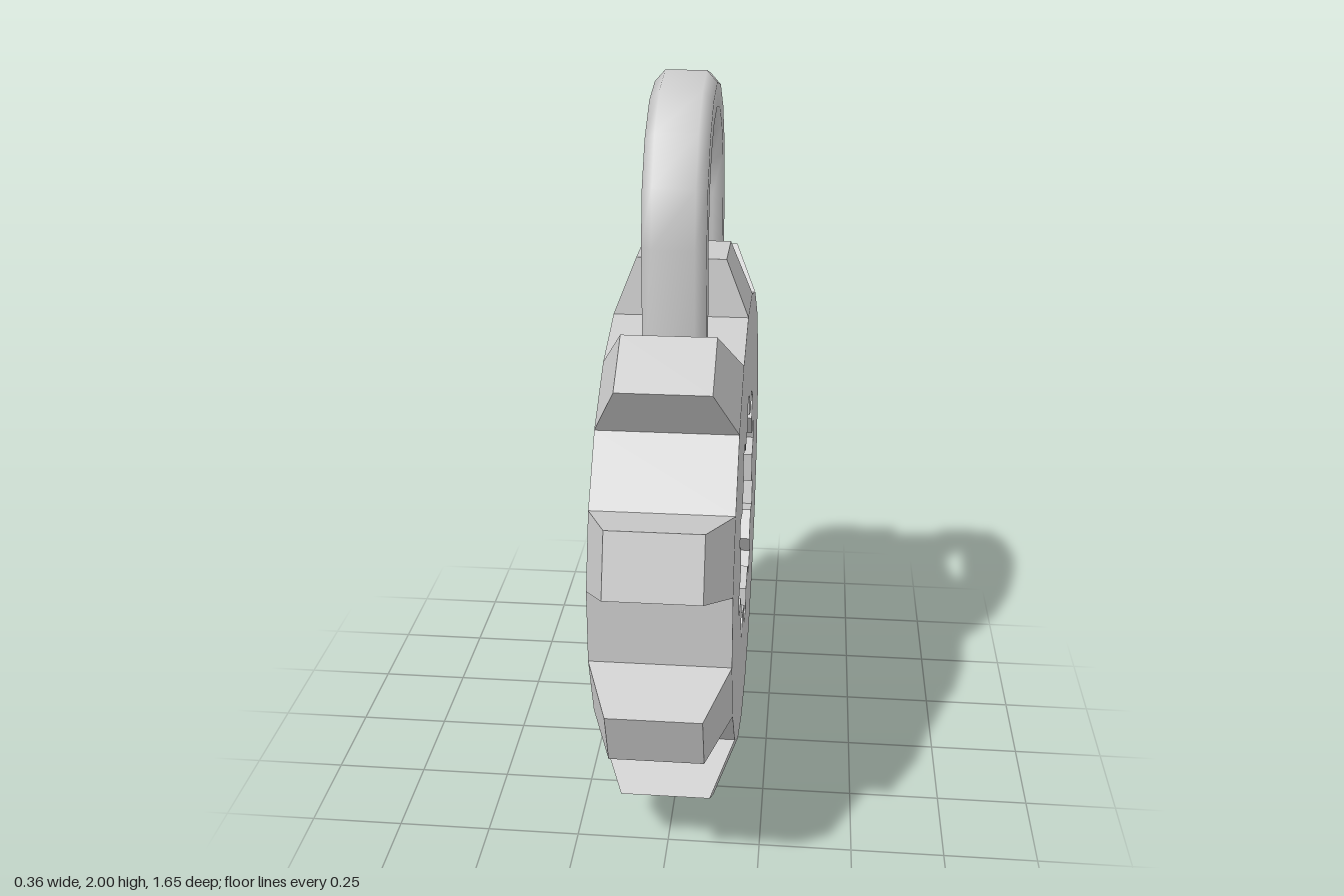
import * as THREE from 'three';
import { mergeGeometries } from 'three/addons/utils/BufferGeometryUtils.js';

const TEETH = 10, ROOT = 0.683, TIP = 0.845, SQUASH = 0.912;
const ROOT_HALF = 9, TIP_HALF = 6.05; // half angles of a tooth, in degrees
const HALF = 0.178, TIP_X = 0.118, CENTRE_Y = 0.767;
const RECESS = 0.45, FLOOR = 0.04;

// Gears are laid out in the XY plane with the axle along z, then turned to face x.
function polar(r, deg, z = 0) {
  const a = THREE.MathUtils.degToRad(deg);
  return new THREE.Vector3(r * Math.cos(a), r * Math.sin(a) * SQUASH, z);
}
const toothAngle = (i) => 90 + (i * 360) / TEETH;

// Toothed rim; "inward" turns the faces toward the axle for a recess
function rim(scale, rootLo, tipLo, tipHi, rootHi, inward) {
  const pos = [];
  const quad = (a, b, c, d) => {
    const tris = inward ? [a, c, b, a, d, c] : [a, b, c, a, c, d];
    tris.forEach((p) => pos.push(p.x, p.y, p.z));
  };
  for (let i = 0; i < TEETH; i++) {
    const a = toothAngle(i);
    const root = (off, z) => polar(ROOT * scale, a + off, z);
    const tip = (off, z) => polar(TIP * scale, a + off, z);
    const R = ROOT_HALF, T = TIP_HALF, next = 360 / TEETH - R;
    quad(tip(-T, tipLo), tip(T, tipLo), tip(T, tipHi), tip(-T, tipHi));
    if (tipHi !== rootHi) quad(tip(-T, tipHi), tip(T, tipHi), root(R, rootHi), root(-R, rootHi));
    quad(root(-R, rootLo), root(R, rootLo), tip(T, tipLo), tip(-T, tipLo));
    quad(root(-R, rootLo), tip(-T, tipLo), tip(-T, tipHi), root(-R, rootHi));
    quad(root(R, rootHi), tip(T, tipHi), tip(T, tipLo), root(R, rootLo));
    quad(root(R, rootLo), root(next, rootLo), root(next, rootHi), root(R, rootHi));
  }
  const g = new THREE.BufferGeometry();
  g.setAttribute('position', new THREE.Float32BufferAttribute(pos, 3));
  g.computeVertexNormals();
  return g;
}

// Outline of the gear, with or without its teeth
function outline(scale, withTeeth) {
  const pts = [];
  for (let i = 0; i < TEETH; i++) {
    const a = toothAngle(i);
    pts.push(polar(ROOT * scale, a - ROOT_HALF));
    if (withTeeth) pts.push(polar(TIP * scale, a - TIP_HALF), polar(TIP * scale, a + TIP_HALF));
    pts.push(polar(ROOT * scale, a + ROOT_HALF));
  }
  return pts.map((p) => new THREE.Vector2(p.x, p.y));
}

function cap(shape, z) {
  const g = new THREE.ShapeGeometry(shape).toNonIndexed();
  g.deleteAttribute('uv');
  return g.translate(0, 0, z);
}

// Bow: a chamfered section swept up one leg, over the arch and down the other
function shackleGeometry() {
  const section = [ // x, offset away from the middle of the arch
    [0.053, 0.06], [0.08, 0.03], [0.08, -0.03], [0.053, -0.06],
    [-0.053, -0.06], [-0.08, -0.03], [-0.08, 0.03], [-0.053, 0.06],
  ];
  const steps = 8, springY = 1.63, footY = 1.2;
  const stations = [[0, footY]];
  for (let i = 0; i <= steps; i++) stations.push([(Math.PI * i) / steps, springY]);
  stations.push([Math.PI, footY]);

  const pos = [], idx = [], n = section.length;
  stations.forEach(([t, y], s) => {
    section.forEach(([x, o], k) => {
      pos.push(x + 0.004, y + Math.sin(t) * (0.31 + o), Math.cos(t) * (0.3 + o));
      if (s === 0) return;
      const k2 = (k + 1) % n, a = (s - 1) * n, b = s * n;
      idx.push(a + k, b + k2, b + k, a + k, a + k2, b + k2);
    });
  });
  const g = new THREE.BufferGeometry();
  g.setAttribute('position', new THREE.Float32BufferAttribute(pos, 3));
  g.setIndex(idx);
  g.computeVertexNormals();
  return g;
}

export function createModel() {
  const group = new THREE.Group();
  const add = (name, geometry, options = {}) => {
    const mesh = new THREE.Mesh(geometry, new THREE.MeshStandardMaterial({ color: 0xcccccc, ...options }));
    mesh.name = name;
    group.add(mesh);
    return mesh;
  };

  // Gear-shaped lock body with its toothed recess on the +x side
  const face = new THREE.Shape(outline(1, false));
  face.holes.push(new THREE.Path(outline(RECESS, true)));
  const body = mergeGeometries([
    rim(1, -HALF, -TIP_X, TIP_X, HALF, false),
    cap(face, HALF),
    cap(new THREE.Shape(outline(1, false)), HALF).rotateY(Math.PI),
  ]).rotateY(Math.PI / 2);
  add('gearBody', body, { flatShading: true }).position.y = CENTRE_Y;

  const recess = mergeGeometries([
    rim(RECESS, FLOOR, FLOOR + HALF - TIP_X, HALF, HALF, true),
    cap(new THREE.Shape(outline(RECESS, false)), FLOOR),
  ]).rotateY(Math.PI / 2);
  add('gearRecess', recess, { flatShading: true }).position.y = CENTRE_Y;

  add('shackle', shackleGeometry(), { side: THREE.DoubleSide });
  return group;
}
